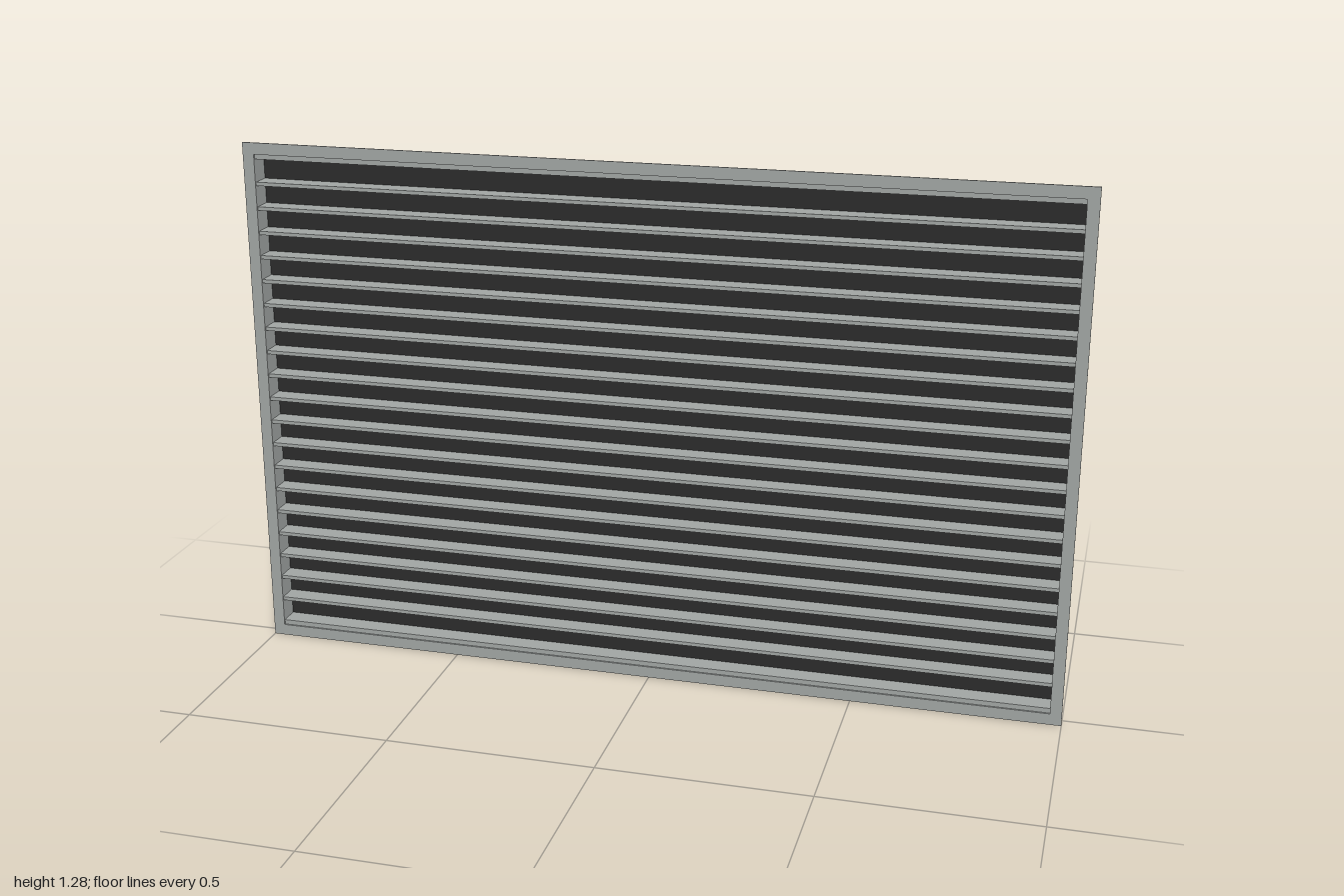
import * as THREE from 'three';

const metal = new THREE.MeshStandardMaterial({ color: 0xa2a6a4 });
metal.name = 'grey metal';
const dark = new THREE.MeshStandardMaterial({ color: 0x2b2b2b });
dark.name = 'dark backing';

const HEIGHT = 1.28, MID = HEIGHT / 2;
const DEPTH = 0.056, FRONT = DEPTH / 2;
const LIP = 0.024;
const BOX_W = 2 - 2 * LIP, BOX_H = HEIGHT - 2 * LIP;

function box(parent, name, material, size, position) {
  const mesh = new THREE.Mesh(new THREE.BoxGeometry(...size), material);
  mesh.name = name;
  mesh.position.set(...position);
  parent.add(mesh);
  return mesh;
}

// Rectangular ring extruded along z
function ring(w, h, holeW, holeH, depth) {
  const rect = (target, rw, rh) => {
    target.moveTo(-rw / 2, -rh / 2);
    target.lineTo(rw / 2, -rh / 2);
    target.lineTo(rw / 2, rh / 2);
    target.lineTo(-rw / 2, rh / 2);
    target.closePath();
    return target;
  };
  const shape = rect(new THREE.Shape(), w, h);
  shape.holes.push(rect(new THREE.Path(), holeW, holeH));
  return new THREE.ExtrudeGeometry(shape, { depth, bevelEnabled: false });
}

export function createModel() {
  const vent = new THREE.Group();
  vent.name = 'louvredVent';

  // Thin mounting flange around the front
  const flange = new THREE.Mesh(ring(2, HEIGHT, BOX_W - 0.008, BOX_H - 0.008, 0.004), metal);
  flange.name = 'flange';
  flange.position.set(0, MID, FRONT - 0.004);
  vent.add(flange);

  // Shallow duct walls, thicker at top and bottom
  const duct = new THREE.Mesh(ring(BOX_W, BOX_H, BOX_W - 0.008, BOX_H - 0.032, DEPTH - 0.007), metal);
  duct.name = 'duct';
  duct.position.set(0, MID, -FRONT + 0.003);
  vent.add(duct);

  // Dark panel closing the back
  box(vent, 'backPanel', dark, [BOX_W, BOX_H, 0.003], [0, MID, -FRONT + 0.0015]);

  // Evenly spaced horizontal slats
  const slats = new THREE.Group();
  slats.name = 'slats';
  for (let i = 0; i < 19; i++) {
    box(slats, 'slat', metal, [BOX_W - 0.008, 0.009, DEPTH - 0.007], [0, 0.1 + i * 0.06, -0.0005]);
  }
  vent.add(slats);

  return vent;
}
